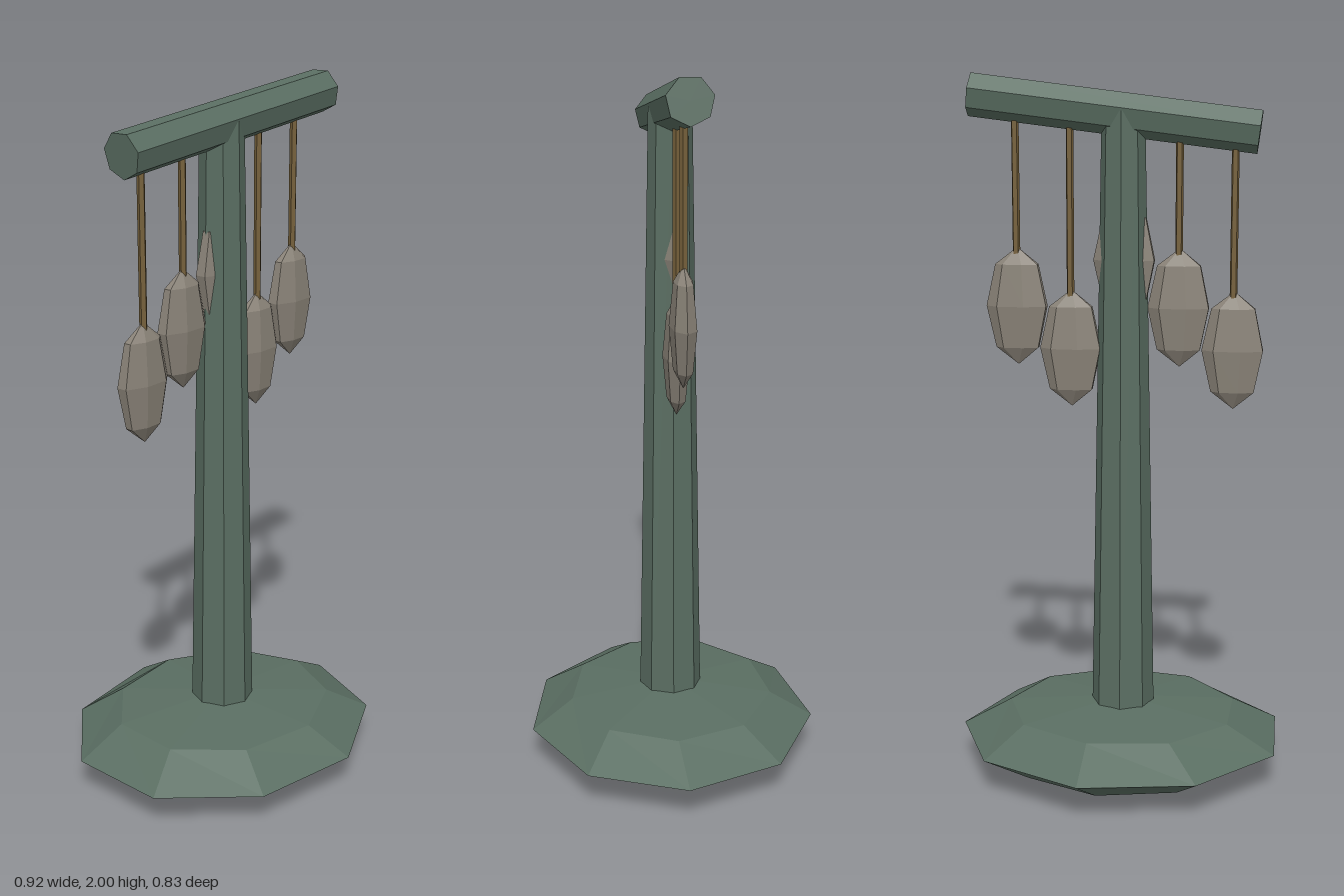
import * as THREE from 'three';

const green = new THREE.MeshStandardMaterial({ color: 0x5a6e62 });
green.name = 'weathered green';
const stone = new THREE.MeshStandardMaterial({ color: 0x8a8378 });
stone.name = 'grey stone';
const cord = new THREE.MeshStandardMaterial({ color: 0x75603a });
cord.name = 'brown cord';

// Faceted mesh: every face gets its own flat normal
function facet(name, geometry, material, x, y, z = 0) {
  const flat = geometry.toNonIndexed();
  flat.computeVertexNormals();
  const mesh = new THREE.Mesh(flat, material);
  mesh.name = name;
  mesh.position.set(x, y, z);
  return mesh;
}

// Low-poly ellipsoid with one corner pointing to +x
function ellipsoid(rx, ry, rz, sides) {
  return new THREE.SphereGeometry(1, sides, 4).rotateY(Math.PI).scale(rx, ry, rz);
}

export function createModel() {
  const group = new THREE.Group();
  group.name = 'hangingStand';
  const poleX = -0.015;

  // Lens-shaped foot, its rings slightly twisted
  const foot = ellipsoid(0.475, 0.107, 0.422, 9);
  const p = foot.attributes.position;
  for (let i = 0; i < p.count; i++) {
    const a = -0.06 * p.getY(i) / 0.107;
    const x = p.getX(i), z = p.getZ(i);
    p.setX(i, x * Math.cos(a) + z * Math.sin(a));
    p.setZ(i, z * Math.cos(a) - x * Math.sin(a));
  }
  group.add(facet('base', foot, green, poleX, 0.111));

  // Tapered eight-sided pole
  group.add(facet('pole', new THREE.CylinderGeometry(0.06, 0.092, 1.8, 8), green, poleX, 1.0));

  // Slanted seven-sided crossbar, corner downwards
  const tilt = 0.126;
  const bar = new THREE.CylinderGeometry(0.0615, 0.0615, 0.8, 7)
    .rotateY(Math.PI / 2).rotateZ(-Math.PI / 2 + tilt);
  group.add(facet('crossbar', bar, green, 0.01, 1.896));

  // Five weights on cords
  const heights = [1.247, 1.364, 1.495, 1.247, 1.364];
  heights.forEach((y, i) => {
    const x = -0.321 + i * 0.1515;
    const top = 1.896 + Math.tan(tilt) * (x - 0.01) - 0.02;
    const bottom = y + 0.14;
    const hanger = new THREE.Group();
    hanger.name = 'hanger' + (i + 1);
    hanger.add(
      facet('cord', new THREE.CylinderGeometry(0.011, 0.011, top - bottom, 5), cord, x, (top + bottom) / 2),
      facet('weight', ellipsoid(0.09, 0.165, 0.037, 7), stone, x - 0.003, y)
    );
    group.add(hanger);
  });

  return group;
}
